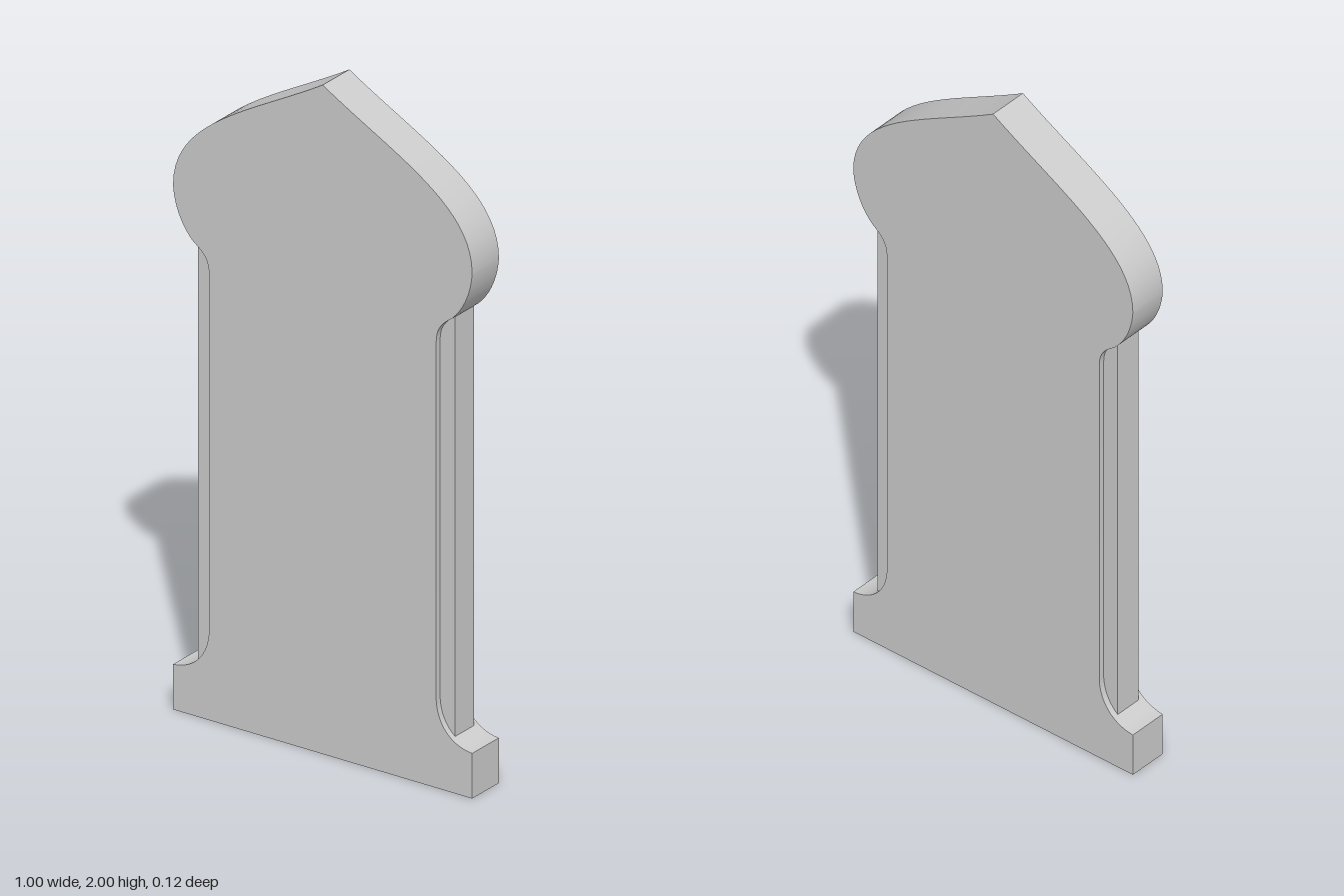
import * as THREE from 'three';
import { toCreasedNormals } from 'three/addons/utils/BufferGeometryUtils.js';

// Right half of the slab outline, from the base corner up to the tip
function halfOutline() {
  const s = new THREE.Path();
  s.moveTo(0.5, 0);
  s.lineTo(0.5, 0.135);
  s.bezierCurveTo(0.43, 0.14, 0.385, 0.19, 0.38, 0.26); // foot cove
  s.lineTo(0.38, 1.335);
  s.bezierCurveTo(0.38, 1.375, 0.4, 1.395, 0.43, 1.415); // neck
  s.bezierCurveTo(0.47, 1.45, 0.497, 1.51, 0.5, 1.57); // lower bulge
  s.bezierCurveTo(0.5, 1.77, 0.24, 1.855, 0, 2); // ogee to the tip
  return s.getPoints(20);
}

export function createModel() {
  const group = new THREE.Group();
  const material = new THREE.MeshStandardMaterial({ color: 0xcccccc });
  const add = (name, geometry) => {
    const mesh = new THREE.Mesh(geometry, material);
    mesh.name = name;
    group.add(mesh);
    return mesh;
  };

  // Main slab: half outline mirrored and extruded
  const right = halfOutline();
  const left = right.slice(0, -1).reverse().map((p) => new THREE.Vector2(-p.x, p.y));
  const depth = 0.125;
  const slab = new THREE.ExtrudeGeometry(new THREE.Shape([...right, ...left]), {
    depth,
    bevelEnabled: false,
  });
  slab.translate(0, 0, -depth / 2);
  add('slab', toCreasedNormals(slab, Math.PI / 6));

  // Thinner rails set into the recessed sides
  const bottom = 0.15, top = 1.415;
  for (const side of [1, -1]) {
    const rail = add(side > 0 ? 'leftRail' : 'rightRail', new THREE.BoxGeometry(0.07, top - bottom, 0.088));
    rail.position.set(side * 0.395, (top + bottom) / 2, 0);
  }
  return group;
}
